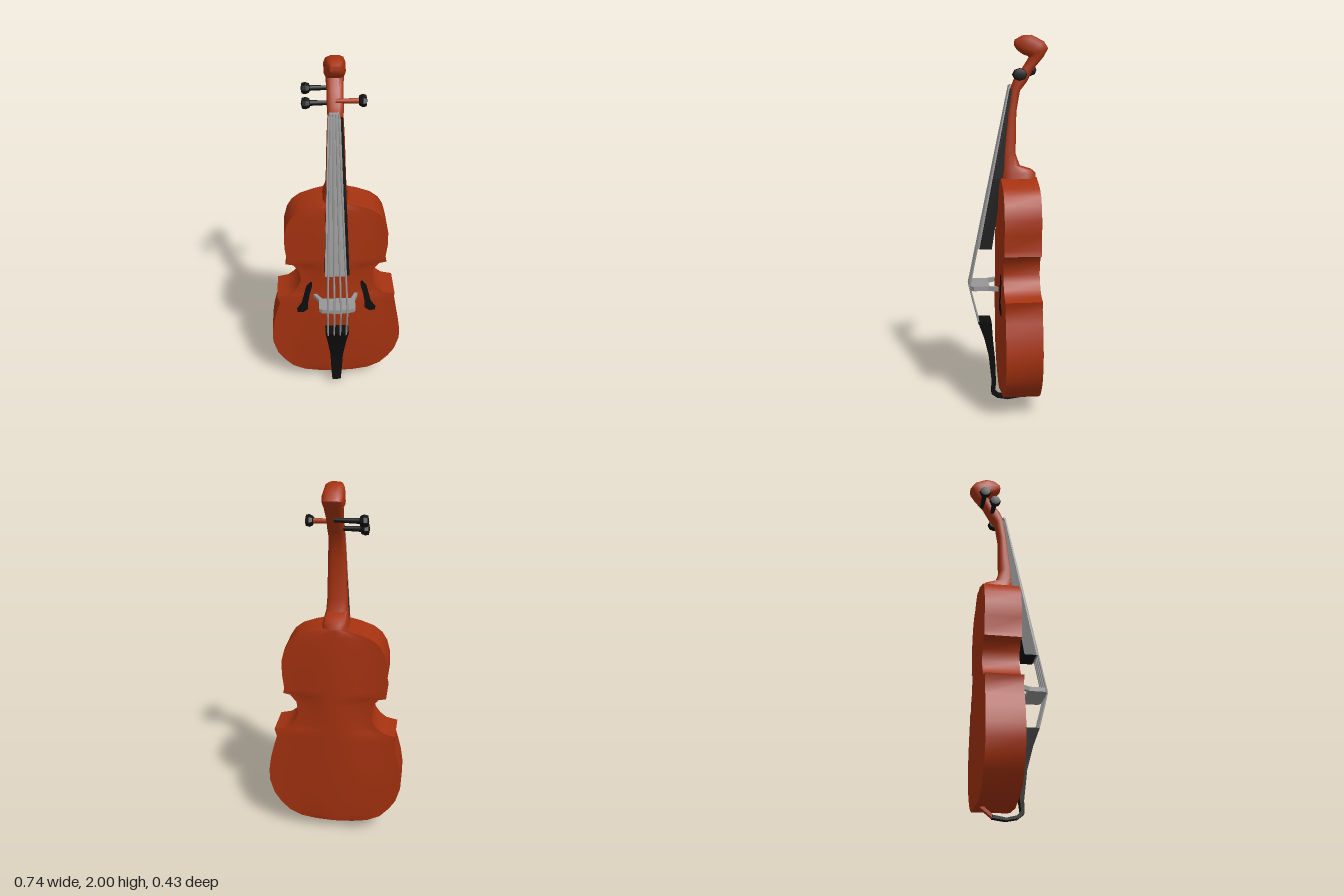
import * as THREE from 'three';
import { toCreasedNormals } from 'three/addons/utils/BufferGeometryUtils.js';

const wood = new THREE.MeshStandardMaterial({ color: 0xa53210 });
wood.name = 'red brown wood';
const ebony = new THREE.MeshStandardMaterial({ color: 0x0e0e0e });
ebony.name = 'black ebony';
const steel = new THREE.MeshStandardMaterial({ color: 0x979797 });
steel.name = 'grey steel';
const hole = new THREE.MeshStandardMaterial({ color: 0x0e0e0e, side: THREE.DoubleSide });
hole.name = 'black hole';

// Skin a list of closed rings and cap both ends.
function loft(rings, crease) {
  const n = rings[0].length, pos = [], idx = [];
  rings.forEach(r => r.forEach(p => pos.push(...p)));
  for (let i = 0; i < rings.length - 1; i++) {
    for (let j = 0; j < n; j++) {
      const a = i * n + j, b = i * n + (j + 1) % n;
      idx.push(a, b, b + n, a, b + n, a + n);
    }
  }
  [0, rings.length - 1].forEach((k, end) => {
    const c = [0, 1, 2].map(q => rings[k].reduce((s, p) => s + p[q], 0) / n);
    const ci = pos.length / 3;
    pos.push(...c);
    for (let j = 0; j < n; j++) {
      const a = k * n + j, b = k * n + (j + 1) % n;
      if (end) idx.push(ci, a, b); else idx.push(ci, b, a);
    }
  });
  const g = new THREE.BufferGeometry();
  g.setAttribute('position', new THREE.Float32BufferAttribute(pos, 3));
  g.setIndex(idx);
  return toCreasedNormals(g, crease);
}

// Bar from stations [front z, front y, back z, back y, half width]; square or rounded section.
function bar(stations, square = false) {
  const n = square ? 4 : 16, k = square ? Math.SQRT2 : 1.2;
  const clamp = v => Math.max(-1, Math.min(1, v * k));
  const rings = stations.map(([fz, fy, bz, by, w]) => {
    const ring = [];
    for (let j = 0; j < n; j++) {
      const t = (j / n) * Math.PI * 2 + (square ? Math.PI / 4 : 0);
      const c = clamp(Math.cos(t)), s = clamp(Math.sin(t));
      ring.push([-w * c, (fy + by) / 2 + s * (fy - by) / 2, (fz + bz) / 2 + s * (fz - bz) / 2]);
    }
    return ring;
  });
  return loft(rings, square ? 0.5 : 0.9);
}

// Body outline: [half width, height]
const outline = [
  [0.10, 0.065], [0.19, 0.08], [0.26, 0.115], [0.31, 0.17], [0.345, 0.225], [0.37, 0.31],
  [0.37, 0.38], [0.358, 0.46], [0.34, 0.53], [0.32, 0.60], [0.332, 0.643], [0.27, 0.657],
  [0.235, 0.685], [0.21, 0.72], [0.197, 0.76], [0.205, 0.82], [0.238, 0.862], [0.277, 0.87],
  [0.27, 0.90], [0.28, 0.98], [0.28, 1.06], [0.262, 1.13], [0.235, 1.175], [0.19, 1.21],
  [0.12, 1.235], [0.06, 1.25]
];
const arch = (s, y) => Math.cos(s * Math.PI / 2) ** 2 *
  Math.sqrt(Math.max(0, Math.sin(Math.PI * (y - 0.04) / 1.24)));
const frontZ = (s, y) => 0.04 + 0.028 * arch(s, y);
const backZ = (s, y) => -0.152 - 0.024 * arch(s, y);

function halfWidth(y) {
  const i = outline.findIndex(p => p[1] >= y);
  const [a, b] = [outline[i - 1], outline[i]];
  return a[0] + (b[0] - a[0]) * (y - a[1]) / (b[1] - a[1]);
}

function bodyGeometry() {
  const N = 14;
  return loft(outline.map(([w, y]) => {
    const ring = [];
    for (let j = 0; j <= N; j++) { const s = -1 + 2 * j / N; ring.push([s * w, y, frontZ(s, y)]); }
    for (let j = N; j >= 0; j--) { const s = -1 + 2 * j / N; ring.push([s * w, y, backZ(s, y)]); }
    return ring;
  }), 0.8);
}

// Thin slanted sound hole lying on the arched front; path points are [x, y, half width].
function soundHoleGeometry(side) {
  const path = [[0.14, 0.75, 0.006], [0.152, 0.72, 0.016], [0.165, 0.67, 0.016],
    [0.178, 0.61, 0.018], [0.192, 0.565, 0.032], [0.205, 0.54, 0.016]];
  const pos = [], idx = [];
  path.forEach(([x, y, h], i) => {
    for (const d of [-h, 0, h]) {
      const px = x + d;
      pos.push(px * side, y, frontZ(Math.min(1, px / halfWidth(y)), y) + 0.005);
    }
    if (i) for (let j = 0; j < 2; j++) {
      const a = (i - 1) * 3 + j;
      const q = [a, a + 3, a + 4, a, a + 4, a + 1];
      idx.push(...(side > 0 ? [...q].reverse() : q));
    }
  });
  const g = new THREE.BufferGeometry();
  g.setAttribute('position', new THREE.Float32BufferAttribute(pos, 3));
  g.setIndex(idx);
  g.computeVertexNormals();
  return g;
}

export function createModel() {
  const model = new THREE.Group();
  const add = (name, geometry, material, parent = model) => {
    const m = new THREE.Mesh(geometry, material);
    m.name = name;
    parent.add(m);
    return m;
  };

  add('body', bodyGeometry(), wood);
  for (const side of [-1, 1]) add('soundHole', soundHoleGeometry(side), hole);

  // Heel, neck, pegbox and forward-curling scroll
  add('neckAndScroll', bar([
    [0.035, 1.20, -0.150, 1.20, 0.075], [0.036, 1.285, -0.150, 1.275, 0.065],
    [0.036, 1.30, -0.130, 1.295, 0.060], [0.036, 1.33, -0.065, 1.315, 0.056],
    [0.030, 1.40, -0.042, 1.38, 0.052], [0.002, 1.60, -0.046, 1.60, 0.046],
    [-0.015, 1.72, -0.065, 1.71, 0.040], [-0.035, 1.77, -0.100, 1.755, 0.042],
    [-0.080, 1.83, -0.138, 1.825, 0.042], [-0.115, 1.884, -0.188, 1.885, 0.046],
    [-0.112, 1.890, -0.213, 1.93, 0.054], [-0.105, 1.894, -0.190, 1.965, 0.055],
    [-0.085, 1.90, -0.125, 1.998, 0.050], [-0.055, 1.92, -0.075, 1.995, 0.040],
    [-0.036, 1.945, -0.040, 1.975, 0.026]
  ]), wood);

  add('fingerboard', bar([
    [0.155, 0.87, 0.090, 0.87, 0.066], [0.081, 1.25, 0.030, 1.25, 0.054],
    [-0.010, 1.72, -0.035, 1.72, 0.036]
  ], true), ebony);
  add('fingerboardTop', bar([
    [0.163, 0.87, 0.155, 0.87, 0.059], [-0.003, 1.72, -0.011, 1.72, 0.032],
    [-0.012, 1.745, -0.022, 1.745, 0.024]
  ], true), steel).position.x = -0.008;

  // Tailpiece with its loop tucked under the body
  add('tailpiece', bar([
    [-0.070, 0.010, -0.070, 0.026, 0.022], [0.000, 0.000, 0.000, 0.014, 0.022],
    [0.060, 0.012, 0.052, 0.026, 0.024], [0.090, 0.035, 0.072, 0.050, 0.025],
    [0.087, 0.10, 0.066, 0.10, 0.030], [0.103, 0.25, 0.072, 0.25, 0.037],
    [0.132, 0.37, 0.084, 0.36, 0.052], [0.165, 0.465, 0.092, 0.465, 0.066]
  ], true), ebony);
  add('endPin', bar([
    [-0.130, 0.06, -0.120, 0.075, 0.018], [-0.068, 0.010, -0.066, 0.026, 0.018]
  ], true), wood);

  // Arched bridge with splayed feet, drawn in x and z
  const shape = new THREE.Shape([
    [-0.13, 0.06], [-0.11, 0.06], [-0.08, 0.105], [0.08, 0.105], [0.10, 0.06], [0.12, 0.06],
    [0.10, 0.11], [0.10, 0.19], [0.085, 0.203], [0, 0.212], [-0.085, 0.203], [-0.10, 0.19], [-0.10, 0.11]
  ].map(p => new THREE.Vector2(...p)));
  const bridge = new THREE.ExtrudeGeometry(shape, { depth: 0.024, bevelEnabled: false });
  bridge.rotateX(Math.PI / 2);
  bridge.translate(0, 0.674, 0);
  add('bridge', bridge, steel);

  // Four strings from tailpiece over the bridge to the nut
  for (const s of [-1.5, -0.5, 0.5, 1.5]) {
    const path = new THREE.CurvePath();
    const pts = [[s * 0.034, 0.45, 0.158], [s * 0.036, 0.662, 0.211], [s * 0.014 - 0.006, 1.74, -0.010]]
      .map(p => new THREE.Vector3(...p));
    path.add(new THREE.LineCurve3(pts[0], pts[1]));
    path.add(new THREE.LineCurve3(pts[1], pts[2]));
    add('string', new THREE.TubeGeometry(path, 24, 0.0055, 6), steel);
  }

  // Tuning pegs: [side, y, z, shaft material]
  for (const [side, y, z, material] of [[-1, 1.823, -0.142, ebony], [-1, 1.768, -0.085, ebony], [1, 1.792, -0.05, wood]]) {
    const peg = new THREE.Group();
    peg.name = 'tuningPeg';
    const shaft = new THREE.CylinderGeometry(0.015, 0.011, 0.13, 8);
    shaft.translate(0, 0.065, 0);
    add('pegShaft', shaft, material, peg);
    const head = new THREE.LatheGeometry([[0, 0.112], [0.026, 0.118], [0.034, 0.135], [0.03, 0.152], [0, 0.158]]
      .map(p => new THREE.Vector2(...p)), 8);
    add('pegHead', toCreasedNormals(head, 0.6), ebony, peg).scale.set(0.95, side < 0 ? 1.08 : 1, side < 0 ? 0.95 : 1.15);
    peg.rotation.z = -side * Math.PI / 2;
    peg.position.set(0, y, z);
    model.add(peg);
  }
  return model;
}
